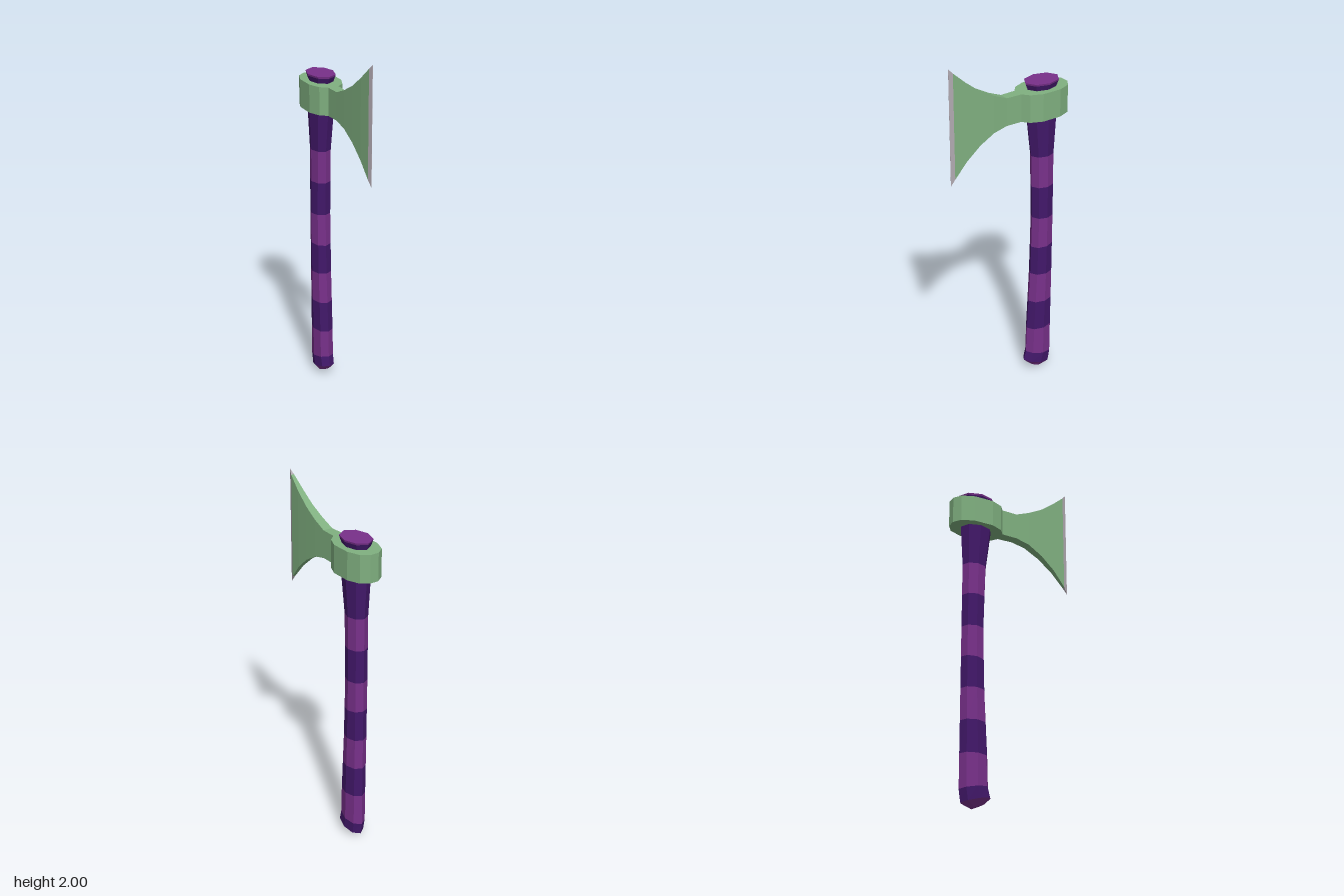
import * as THREE from 'three';

const material = (color) => new THREE.MeshStandardMaterial({ color, flatShading: true });

// Skins a list of equal-length rings (counter-clockwise seen from the last ring).
function loft(rings, capStart = false, capEnd = false) {
  const pos = [];
  const tri = (a, b, c) => pos.push(...a, ...b, ...c);
  const n = rings[0].length;
  for (let r = 0; r < rings.length - 1; r++) {
    const A = rings[r], B = rings[r + 1];
    for (let i = 0; i < n; i++) {
      const j = (i + 1) % n;
      tri(A[i], A[j], B[j]);
      tri(A[i], B[j], B[i]);
    }
  }
  const first = rings[0], last = rings[rings.length - 1];
  for (let i = 1; i < n - 1; i++) {
    if (capStart) tri(first[0], first[i + 1], first[i]);
    if (capEnd) tri(last[0], last[i], last[i + 1]);
  }
  const g = new THREE.BufferGeometry();
  g.setAttribute('position', new THREE.Float32BufferAttribute(pos, 3));
  g.computeVertexNormals();
  return g;
}

// Tilted eight-sided ring of the handle, given its front and back points.
function octagon([yFront, zFront, yBack, zBack, halfWidth]) {
  return Array.from({ length: 8 }, (_, i) => {
    const a = (i * Math.PI) / 4, t = (1 + Math.cos(a)) / 2;
    return [
      halfWidth * Math.sin(a),
      yBack + (yFront - yBack) * t,
      zBack + (zFront - zBack) * t,
    ];
  });
}

// Rectangular section of the blade at depth z.
const section = ([z, w, lo, hi]) => [[-w, lo, z], [w, lo, z], [w, hi, z], [-w, hi, z]];

export function createModel() {
  const model = new THREE.Group();
  const purple = material(0x78308a), dark = material(0x42186a);
  const green = material(0x80b080), steel = material(0xb0a8b0);
  const add = (parent, name, geometry, mat) => {
    const mesh = new THREE.Mesh(geometry, mat);
    mesh.name = name;
    parent.add(mesh);
  };

  // Handle: alternating bands from the butt to the neck
  const handle = new THREE.Group();
  handle.name = 'handle';
  model.add(handle);
  const rings = [
    [0.04, -0.145, 0.005, -0.22, 0.025],
    [0.075, -0.11, 0.03, -0.28, 0.053],
    [0.13, -0.125, 0.10, -0.29, 0.055],
    [0.29, -0.13, 0.29, -0.29, 0.055],
    [0.47, -0.14, 0.47, -0.29, 0.055],
    [0.65, -0.15, 0.65, -0.29, 0.055],
    [0.82, -0.155, 0.83, -0.29, 0.055],
    [1.005, -0.16, 1.005, -0.29, 0.055],
    [1.195, -0.155, 1.195, -0.29, 0.055],
    [1.38, -0.15, 1.38, -0.29, 0.055],
    [1.62, -0.12, 1.62, -0.305, 0.067],
  ].map(octagon);
  for (let i = 0; i < rings.length - 1; i++) {
    add(handle, 'handleBand' + (i + 1), loft([rings[i], rings[i + 1]], i === 0), i % 2 ? dark : purple);
  }

  // Flared handle end above the head
  const flare = [
    [1.62, -0.12, 1.62, -0.305, 0.067],
    [1.77, -0.122, 1.77, -0.302, 0.063],
    [1.80, -0.11, 1.80, -0.313, 0.073],
    [1.81, -0.108, 1.81, -0.316, 0.075],
  ].map(octagon);
  add(handle, 'handleTop', loft(flare.slice(0, 3)), dark);
  add(handle, 'handleCap', loft(flare.slice(2), false, true), purple);

  // Head: collar around the handle
  const head = new THREE.Group();
  head.name = 'axeHead';
  model.add(head);
  const side = [[0.03, -0.06], [0.068, -0.09], [0.095, -0.155], [0.095, -0.265], [0.068, -0.335], [0.025, -0.365]];
  const outline = [...side, ...side.map(([x, z]) => [-x, z]).reverse()];
  const collar = [1.615, 1.77].map((y) => outline.map(([x, z]) => [x, y, z]));
  add(head, 'collar', loft(collar, true, true), green);

  // Blade: thins and flares toward the cutting edge
  const blade = [
    [-0.06, 0.03, 1.615, 1.77],
    [0.03, 0.027, 1.615, 1.77],
    [0.11, 0.025, 1.595, 1.803],
    [0.195, 0.021, 1.545, 1.85],
    [0.275, 0.016, 1.475, 1.912],
    [0.345, 0.009, 1.39, 1.975],
    [0.367, 0.0005, 1.353, 2.0],
  ].map(section);
  add(head, 'blade', loft(blade.slice(0, 6)), green);
  add(head, 'cuttingEdge', loft(blade.slice(5), false, true), steel);

  return model;
}
